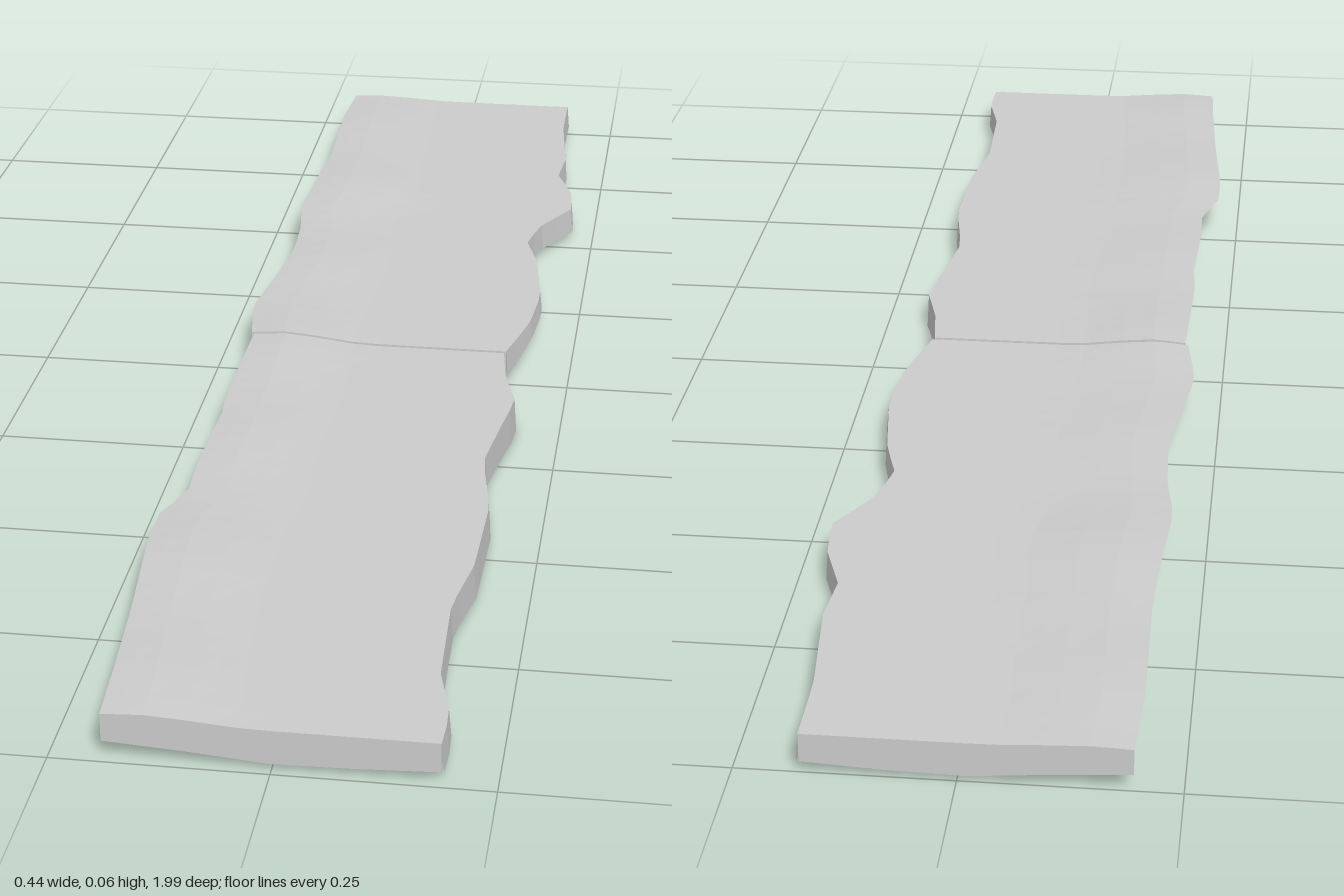
import * as THREE from 'three';

const material = new THREE.MeshStandardMaterial({ color: 0xcccccc, flatShading: true, side: THREE.DoubleSide });

// Edge outlines as [z, x] pairs and skirt bottoms as [z, y] pairs
const tiles = [
  {
    name: 'backPlank', z0: -1, z1: -0.003,
    left: [[-1, -0.195], [-0.9, -0.2], [-0.7, -0.195], [-0.6, -0.2], [-0.48, -0.207], [-0.4, -0.195], [-0.3, -0.19], [-0.1, -0.215], [0, -0.2]],
    right: [[-1, 0.175], [-0.9, 0.175], [-0.75, 0.19], [-0.68, 0.184], [-0.6, 0.212], [-0.53, 0.215], [-0.48, 0.178], [-0.4, 0.157], [-0.33, 0.178], [-0.2, 0.195], [-0.1, 0.187], [0, 0.162]],
    bottom: [[-1, 0.016], [-0.85, 0.021], [-0.7, 0.015], [-0.5, 0.013], [-0.4, 0.015], [-0.3, 0.022], [-0.1, 0.026], [0, 0.013]],
  },
  {
    name: 'frontPlank', z0: 0.003, z1: 0.99,
    left: [[0, -0.196], [0.2, -0.2], [0.25, -0.195], [0.4, -0.2], [0.47, -0.197], [0.53, -0.22], [0.6, -0.22], [0.75, -0.206], [0.9, -0.195], [1, -0.19]],
    right: [[0, 0.16], [0.08, 0.17], [0.15, 0.19], [0.2, 0.182], [0.33, 0.165], [0.45, 0.185], [0.6, 0.182], [0.7, 0.165], [0.85, 0.17], [0.93, 0.19], [1, 0.187]],
    bottom: [[0, 0.012], [0.16, 0.001], [0.3, 0.01], [0.45, 0.01], [0.6, 0.006], [0.8, 0.018], [1, 0.015]],
  },
];

// Linear lookup in a list of [key, value] pairs
function sample(pairs, k) {
  for (let i = 1; i < pairs.length; i++) {
    const [a, va] = pairs[i - 1], [b, vb] = pairs[i];
    if (k <= b) return va + (vb - va) * Math.max(0, (k - a) / (b - a));
  }
  return pairs[pairs.length - 1][1];
}

// Surface through rows of equally many points
function sheet(name, rows) {
  const n = rows[0].length, index = [];
  for (let i = 0; i < rows.length - 1; i++) {
    for (let j = 0; j < n - 1; j++) {
      const a = i * n + j, b = a + n;
      index.push(a, b, a + 1, b, b + 1, a + 1);
    }
  }
  const geometry = new THREE.BufferGeometry();
  geometry.setAttribute('position', new THREE.Float32BufferAttribute(rows.flat(2), 3));
  geometry.setIndex(index);
  geometry.computeVertexNormals();
  const mesh = new THREE.Mesh(geometry, material);
  mesh.name = name;
  return mesh;
}

// Cross-section of the top: worn, lifted lip on the -x side, flat elsewhere
const lift = [[0, 0.006], [0.12, 0.009], [0.25, 0.006], [0.4, 0.001], [0.5, 0], [1, 0]];
const columns = [0, 0.06, 0.13, 0.19, 0.25, 0.32, 0.4, 0.5, 0.75, 1];
const endBottom = [[0, 0.023], [0.25, 0.017], [0.5, 0.009], [0.75, 0.011], [1, 0.015]];

function plank({ name, z0, z1, left, right, bottom }) {
  const group = new THREE.Group();
  group.name = name;
  const rows = [], N = 28;
  for (let i = 0; i <= N; i++) {
    const z = z0 + (z1 - z0) * i / N;
    const wave = 1 + 0.4 * Math.sin(z * 15 + 1) * Math.cos(z * 6);
    const xl = sample(left, z), xr = sample(right, z);
    rows.push(columns.map(t => [xl + (xr - xl) * t, 0.052 + sample(lift, t) * wave, z]));
  }
  group.add(sheet('topSurface', rows));

  // Long side skirt on +x
  group.add(sheet('sideSkirt', rows.map(r => {
    const [x, y, z] = r[r.length - 1];
    return [[x, y, z], [x + 0.003, sample(bottom, z), z]];
  })));

  // Short skirts closing both ends
  const cornerY = row => sample(bottom, row[0][2]);
  const end = row => row.map(([x, y, z], j) => {
    const t = columns[j];
    return [[x, y, z], [x, t === 1 ? cornerY(row) : sample(endBottom, t), z]];
  });
  group.add(sheet('backSkirt', end(rows[0])));
  group.add(sheet('frontSkirt', end(rows[N]).reverse()));
  return group;
}

export function createModel() {
  const model = new THREE.Group();
  model.name = 'plankEdge';
  tiles.forEach(t => model.add(plank(t)));
  return model;
}
